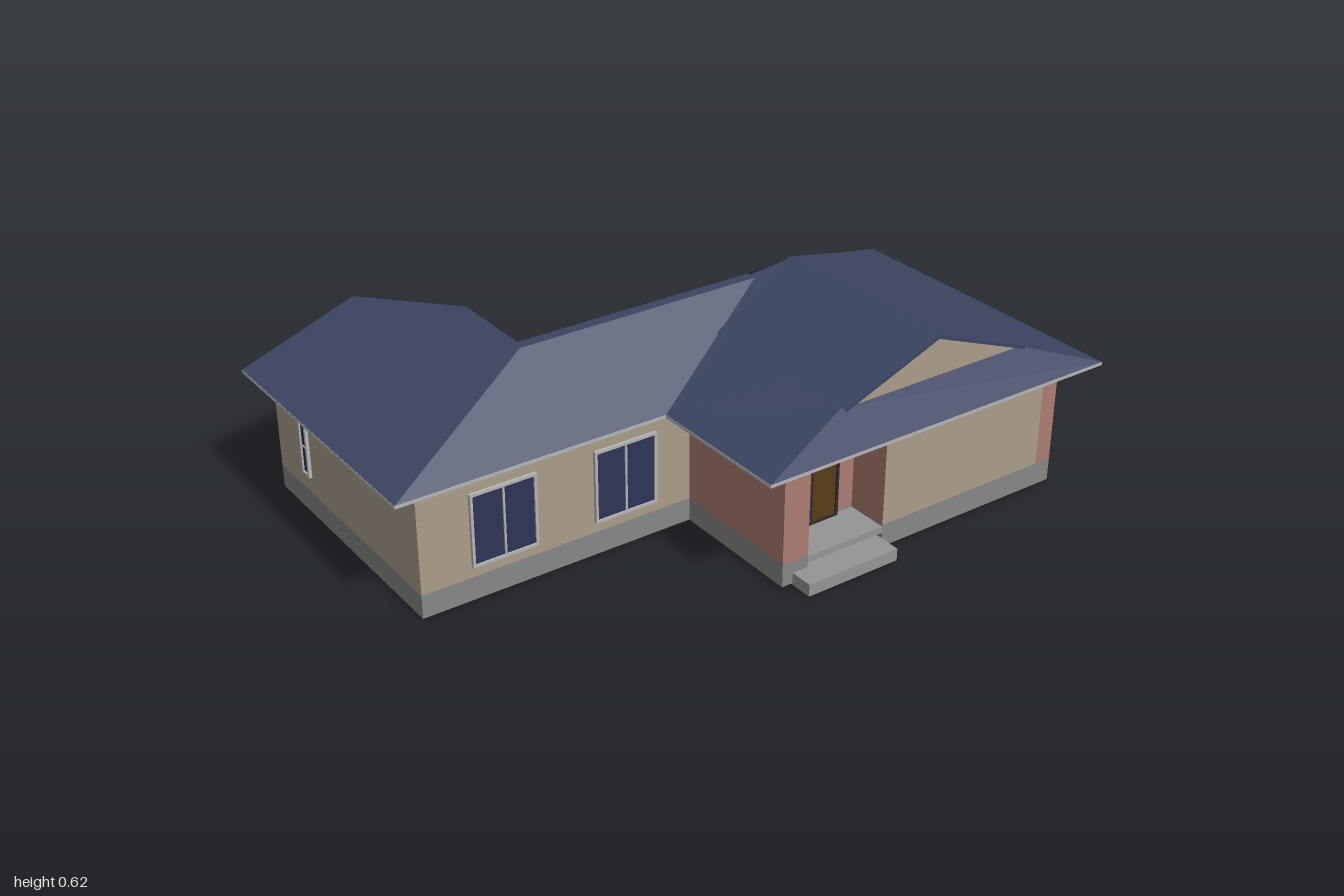
import * as THREE from 'three';

const mat = (color) => new THREE.MeshStandardMaterial({ color, side: THREE.DoubleSide, flatShading: true });
const TAN = mat(0xaa9c8a), PINK = mat(0xad7d72), BASE = mat(0x868686), ROOF = mat(0x3b4462);
const GLASS = mat(0x2f3458), TRIM = mat(0xb4b4b4), DARK = mat(0x2e2a28), WOOD = mat(0x5a3b18), PAVE = mat(0x959595);
const EAVE = 0.388;

export function createModel() {
  const model = new THREE.Group();

  const add = (name, geo, m, parent = model) => {
    const mesh = new THREE.Mesh(geo, m);
    mesh.name = name;
    parent.add(mesh);
    return mesh;
  };
  // box given by its limits
  const box = (name, m, x0, x1, y0, y1, z0, z1, parent = model) => {
    const b = add(name, new THREE.BoxGeometry(x1 - x0, y1 - y0, z1 - z0), m, parent);
    b.position.set((x0 + x1) / 2, (y0 + y1) / 2, (z0 + z1) / 2);
    return b;
  };
  // flat polygons, each a list of [x, y, z] corners
  const facets = (name, m, polys) => {
    const pos = [];
    for (const p of polys)
      for (let i = 1; i < p.length - 1; i++) pos.push(...p[0], ...p[i], ...p[i + 1]);
    const g = new THREE.BufferGeometry();
    g.setAttribute('position', new THREE.Float32BufferAttribute(pos, 3));
    g.computeVertexNormals();
    return add(name, g, m);
  };
  // upright wall following a list of [x, z] points
  const wall = (name, m, path, y0 = 0.08, y1 = 0.385) => facets(name, m, path.slice(1).map(([x, z], i) => {
    const [px, pz] = path[i];
    return [[px, y0, pz], [x, y0, z], [x, y1, z], [px, y1, pz]];
  }));

  // --- walls of the three blocks, open underneath ---
  const rearTan = [[0.55, -0.895], [-0.25, -0.895], [-0.25, -0.21], [0.19, -0.21], [0.19, 0.085]];
  const porch = [[0.19, 0.085], [0.61, 0.085], [0.61, 0], [0.48, 0], [0.48, -0.26], [0.61, -0.26]];
  const corner = [[0.61, -0.84], [0.61, -0.895], [0.55, -0.895]];
  const middle = [[0.19, 0.085], [0.19, 0.93], [-0.25, 0.93], [-0.25, -0.21]];
  const west = [[-0.25, 0.93], [-0.64, 0.93], [-0.64, 0.35], [-0.25, 0.35]];
  wall('rearWall', TAN, rearTan);
  wall('porchWall', PINK, porch);
  wall('rearSideWall', TAN, [[0.61, -0.26], [0.61, -0.84]]);
  wall('cornerPanel', PINK, corner);
  wall('middleWall', TAN, middle);
  wall('westWall', TAN, west);
  for (const path of [[...rearTan, ...porch, ...corner], middle, west]) wall('plinth', BASE, path, 0.01, 0.08);

  // --- soffit and fascia ---
  const outline = [[-0.31, -1], [0.675, -1], [0.675, 0.185], [0.22, 0.185], [0.22, 1], [-0.685, 1], [-0.685, 0.28], [-0.31, 0.28]];
  const soffit = new THREE.ExtrudeGeometry(
    new THREE.Shape(outline.map(([x, z]) => new THREE.Vector2(x, z))), { depth: 0.009, bevelEnabled: false });
  soffit.rotateX(Math.PI / 2);
  add('soffit', soffit, TRIM).position.y = EAVE - 0.001;

  // --- roofs ---
  const E = EAVE, R = 0.58;
  // middle roof: narrow flat ridge, hipped to the front
  facets('middleRoof', ROOF, [
    [[-0.31, E, 1], [0.22, E, 1], [-0.015, R, 0.49], [-0.05, R, 0.49]],
    [[0.22, E, 1], [0.22, E, 0.185], [-0.015, R, -0.29], [-0.015, R, 0.49]],
    [[-0.31, E, 1], [-0.05, R, 0.49], [-0.05, R, -0.29], [-0.31, E, -0.29]],
    [[-0.05, R, 0.49], [-0.015, R, 0.49], [-0.015, R, -0.29], [-0.05, R, -0.29]],
  ]);
  // west roof: plain gable running into the middle roof
  facets('westRoof', ROOF, [
    [[-0.685, E, 1], [-0.31, E, 1], [-0.13, 0.52, 0.645], [-0.685, 0.52, 0.645]],
    [[-0.685, E, 0.28], [-0.685, 0.52, 0.645], [-0.13, 0.52, 0.645], [-0.31, E, 0.28]],
    [[-0.685, E, 0.28], [-0.685, E, 1], [-0.685, 0.52, 0.645]],
  ]);
  // rear roof: hips below, small gable at the top of the east end
  const top = 0.617, H = 0.494;
  facets('rearRoof', ROOF, [
    [[-0.31, E, -1], [0, top, -0.4], [0.612, top, -0.4], [0.612, H, -0.72], [0.675, E, -1]],
    [[0.22, E, 0.185], [0.675, E, 0.185], [0.612, H, -0.09], [0.612, top, -0.4], [0, top, -0.4], [-0.04, R, -0.29]],
    [[-0.31, E, -1], [-0.31, E, 0.185], [-0.05, R, -0.29], [0, top, -0.4]],
    [[0.675, E, -1], [0.612, H, -0.72], [0.612, H, -0.09], [0.675, E, 0.185]],
  ]);
  facets('upperRoof', ROOF, [
    [[-0.155, H + 0.006, -0.725], [0, 0.623, -0.4], [0.635, 0.623, -0.4], [0.635, H + 0.006, -0.725]],
    [[0.08, H + 0.006, -0.085], [0.635, H + 0.006, -0.085], [0.635, 0.623, -0.4], [0, 0.623, -0.4]],
    [[0.635, H + 0.006, -0.725], [0.635, 0.623, -0.4], [0.635, 0.614, -0.4], [0.635, H - 0.003, -0.725]],
    [[0.635, H + 0.006, -0.085], [0.635, 0.623, -0.4], [0.635, 0.614, -0.4], [0.635, H - 0.003, -0.085]],
  ]);
  facets('gableWall', TAN, [[[0.618, H, -0.72], [0.618, H, -0.09], [0.618, 0.616, -0.4]]]);

  // --- windows: built facing +z, then turned to their wall ---
  const makeWindow = (name, [x, y, z], w, h, turn, panes = 2, grille = false, m = TRIM) => {
    const g = new THREE.Group();
    g.name = name;
    const rect = (S, a, b) => new S([[-a, -b], [a, -b], [a, b], [-a, b]].map((p) => new THREE.Vector2(...p)));
    const shape = rect(THREE.Shape, w / 2, h / 2);
    shape.holes.push(rect(THREE.Path, w / 2 - 0.008, h / 2 - 0.008));
    add('frame', new THREE.ExtrudeGeometry(shape, { depth: 0.01, bevelEnabled: false }), m, g);
    box('glass', GLASS, -w / 2 + 0.006, w / 2 - 0.006, -h / 2 + 0.006, h / 2 - 0.006, 0.001, 0.005, g);
    for (let i = 1; i < panes; i++) {
      const px = -w / 2 + (w * i) / panes;
      box('mullion', m, px - 0.003, px + 0.003, -h / 2, h / 2, 0.003, 0.009, g);
    }
    if (grille) {
      const n = Math.round(w / 0.022);
      for (let i = 0; i <= n; i++) {
        const px = -w / 2 + (w * i) / n;
        box('grilleBar', DARK, px - 0.002, px + 0.002, -h / 2, h / 2, 0.012, 0.018, g);
      }
      for (let i = 0; i <= 3; i++) {
        const py = -h / 2 + (h * i) / 3;
        box('grilleRail', DARK, -w / 2, w / 2, py - 0.002, py + 0.002, 0.012, 0.018, g);
      }
    }
    g.position.set(x, y, z);
    g.rotation.y = turn;
    model.add(g);
    return g;
  };
  const EAST = Math.PI / 2, WEST = -Math.PI / 2, BACK = Math.PI;
  const slit = makeWindow('frontWindow', [-0.455, 0.225, 0.93], 0.045, 0.18, 0, 1);
  box('crossbar', TRIM, -0.02, 0.02, -0.002, 0.002, 0.003, 0.008, slit);
  for (const z of [0.68, 0.3]) makeWindow('eastWindow', [0.19, 0.222, z], 0.2, 0.22, EAST);
  makeWindow('westRearWindow', [-0.25, 0.22, -0.7], 0.2, 0.24, WEST);
  makeWindow('westGrilleWindow', [-0.25, 0.25, -0.4], 0.17, 0.1, WEST, 2, true);
  makeWindow('terraceWindow', [-0.25, 0.215, 0.12], 0.2, 0.25, WEST);
  makeWindow('terraceDoor', [-0.405, 0.21, 0.35], 0.2, 0.25, BACK);
  makeWindow('backGrilleWindow', [0.445, 0.28, -0.895], 0.19, 0.1, BACK, 2, true);
  makeWindow('backSmallWindow', [0.225, 0.28, -0.895], 0.05, 0.07, BACK, 1);
  box('bayPanel', PINK, -0.165, 0, 0.12, 0.38, -0.92, -0.893);
  makeWindow('bayWindow', [-0.083, 0.28, -0.92], 0.11, 0.09, BACK);

  // --- entrance: recessed double door, porch floor and step ---
  const door = makeWindow('entranceDoor', [0.482, 0.212, -0.1], 0.2, 0.275, EAST, 1, false, DARK);
  for (const s of [-1, 1]) box('doorLeaf', WOOD, s * 0.049 - 0.04, s * 0.049 + 0.04, -0.128, 0.128, 0.003, 0.009, door);
  box('porchFloor', PAVE, 0.48, 0.61, 0.055, 0.075, -0.26, 0);
  box('entranceStep', PAVE, 0.585, 0.68, 0.005, 0.042, -0.255, 0.05);

  // --- terrace and ramp on the west side ---
  box('terrace', BASE, -0.585, -0.25, 0.025, 0.08, -0.23, 0.35);
  const slope = new THREE.Shape([[0.67, 0], [0.23, 0.025], [0.23, 0.08], [0.67, 0.008]].map((p) => new THREE.Vector2(...p)));
  const ramp = new THREE.ExtrudeGeometry(slope, { depth: 0.195, bevelEnabled: false });
  ramp.rotateY(Math.PI / 2);
  add('ramp', ramp, BASE).position.x = -0.585;

  // --- railings ---
  const railing = (name, x0, z0, x1, z1) => {
    const g = new THREE.Group();
    g.name = name;
    const n = Math.round(Math.hypot(x1 - x0, z1 - z0) / 0.035), t = 0.004;
    for (let i = 0; i <= n; i++) {
      const x = x0 + ((x1 - x0) * i) / n, z = z0 + ((z1 - z0) * i) / n;
      box('baluster', DARK, x - t, x + t, 0.08, 0.19, z - t, z + t, g);
    }
    for (const y of [0.1, 0.185]) box('rail', DARK, x0 - t, x1 + t, y, y + 0.008, z0 - t, z1 + t, g);
    model.add(g);
  };
  railing('westRailing', -0.578, -0.225, -0.578, 0.25);
  railing('backRailing', -0.39, -0.225, -0.26, -0.225);

  return model;
}
